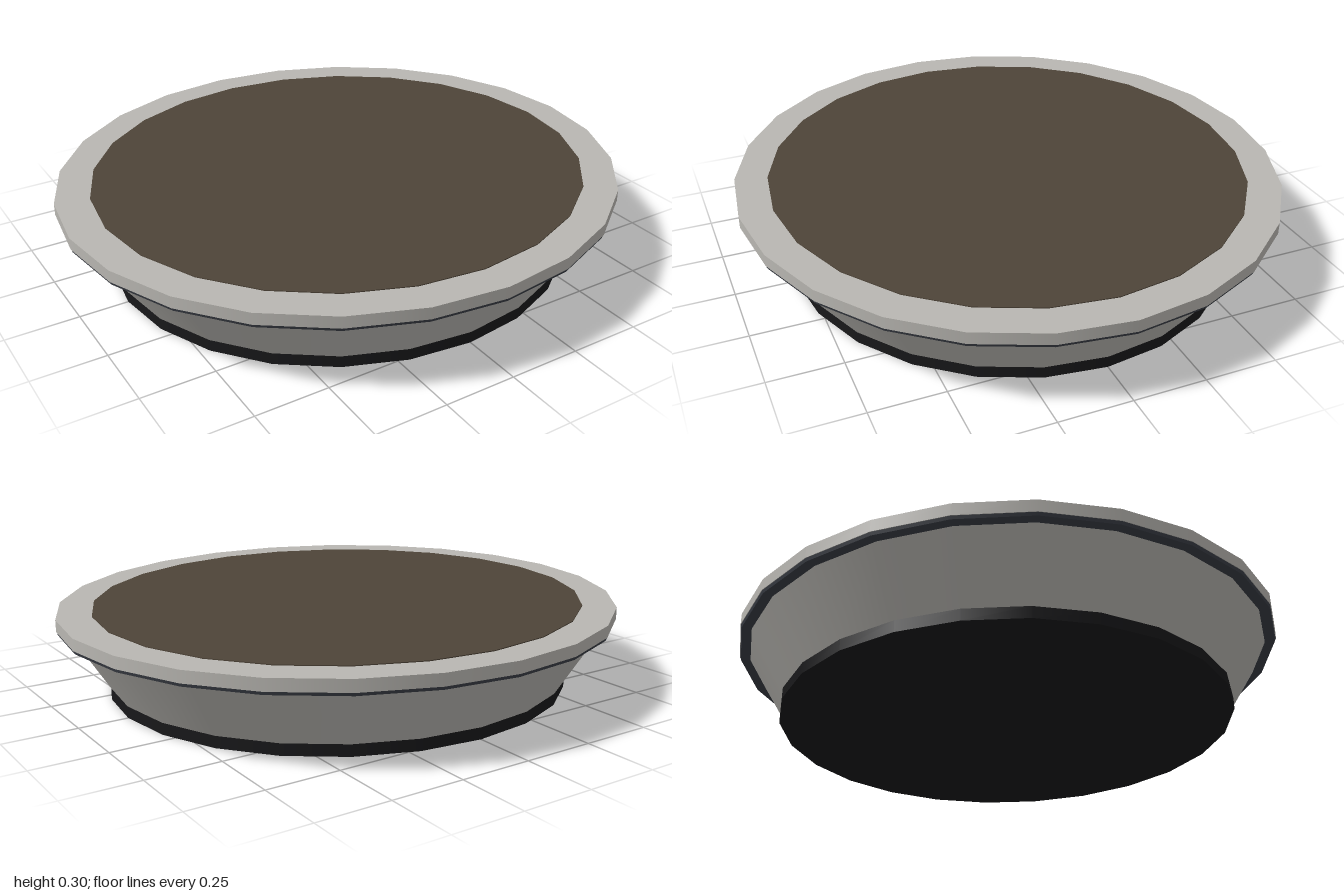
import * as THREE from 'three';

export function createModel() {
  const model = new THREE.Group();
  model.name = 'ovalDish';

  const mat = (name, color) => {
    const m = new THREE.MeshStandardMaterial({ color });
    m.name = name;
    return m;
  };
  const stone = mat('pale grey', 0xb9b7b2);
  const soil = mat('dark brown', 0x4e4438);
  const rubber = mat('black', 0x18181a);
  const trim = mat('slate', 0x3a3e46);

  // Oval 24-sided drum between two heights; slightly narrower in z
  const SIDES = 24, DEPTH = 0.952;
  function drum(name, material, rBottom, rTop, y0, y1) {
    const geo = new THREE.CylinderGeometry(rTop, rBottom, y1 - y0, SIDES);
    geo.scale(1, 1, DEPTH);
    geo.translate(0, (y0 + y1) / 2, 0);
    const mesh = new THREE.Mesh(geo, material);
    mesh.name = name;
    model.add(mesh);
  }

  drum('footPad', rubber, 0.83, 0.83, 0, 0.04);
  drum('taperedBody', stone, 0.83, 0.96, 0.04, 0.246);
  drum('rimTrim', trim, 0.995, 0.998, 0.245, 0.256);
  drum('rim', stone, 1, 1, 0.256, 0.297);
  // Filling sits a hair above the rim
  drum('filling', soil, 0.88, 0.88, 0.292, 0.3);

  return model;
}
